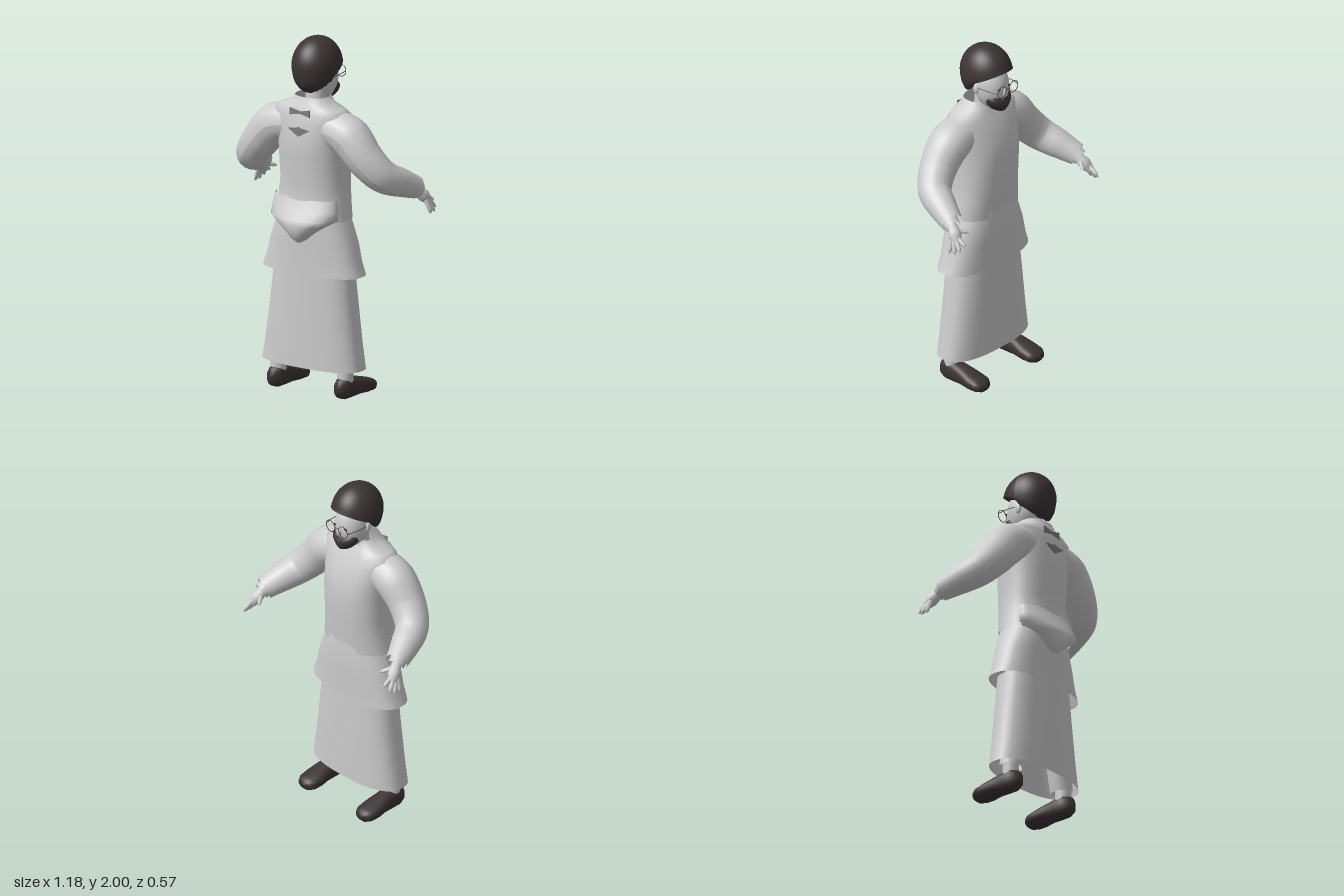
import * as THREE from 'three';

const cloth = new THREE.MeshStandardMaterial({ color: 0xcccccc, side: THREE.DoubleSide });
cloth.name = 'pale cloth and skin';
const dark = new THREE.MeshStandardMaterial({ color: 0x3c3334, side: THREE.DoubleSide });
dark.name = 'dark brown';
const grey = new THREE.MeshStandardMaterial({ color: 0x808080, side: THREE.DoubleSide });
grey.name = 'mid grey';

// Skin through rows of [y, half width, z min, z max]; power < 1 makes the section boxier
function loft(rows, power = 1, from = 0, to = Math.PI * 2, n = 40) {
  const pos = [], idx = [], full = to - from > 6.28, w = full ? n : n + 1;
  const bend = v => Math.sign(v) * Math.abs(v) ** power;
  for (const [y, hw, z0, z1] of rows) {
    for (let j = 0; j < w; j++) {
      const t = from + (to - from) * j / n;
      pos.push(hw * bend(Math.sin(t)), y, (z0 + z1) / 2 + (z1 - z0) / 2 * bend(Math.cos(t)));
    }
  }
  for (let i = 0; i < rows.length - 1; i++) {
    for (let j = 0; j < n; j++) {
      const k = (j + 1) % w, a = i * w + j, b = i * w + k;
      idx.push(a, b, b + w, a, b + w, a + w);
    }
  }
  const g = new THREE.BufferGeometry();
  g.setAttribute('position', new THREE.Float32BufferAttribute(pos, 3));
  g.setIndex(idx);
  g.computeVertexNormals();
  return g;
}

// Tube along points with radii spread evenly over its length
function taperedTube(points, radii, seg = 20, sides = 16) {
  const curve = new THREE.CatmullRomCurve3(points.map(p => new THREE.Vector3(...p)));
  const g = new THREE.TubeGeometry(curve, seg, 1, sides);
  const p = g.attributes.position, v = new THREE.Vector3();
  for (let i = 0; i < p.count; i++) {
    const u = Math.floor(i / (sides + 1)) / seg, f = u * (radii.length - 1);
    const k = Math.min(Math.floor(f), radii.length - 2);
    const r = THREE.MathUtils.lerp(radii[k], radii[k + 1], f - k), c = curve.getPointAt(u);
    v.fromBufferAttribute(p, i).sub(c).multiplyScalar(r).add(c);
    p.setXYZ(i, v.x, v.y, v.z);
  }
  g.computeVertexNormals();
  return g;
}

// Sphere scaled to radii, placed, with an optional rule moving its vertices
function blob(c, r, rule) {
  const g = new THREE.SphereGeometry(1, 32, 24).scale(...r).translate(...c);
  if (rule) {
    const p = g.attributes.position, v = new THREE.Vector3();
    for (let i = 0; i < p.count; i++) {
      rule(v.fromBufferAttribute(p, i));
      p.setXYZ(i, v.x, v.y, v.z);
    }
    g.computeVertexNormals();
  }
  return g;
}

function plate(points, y, z) {
  const s = new THREE.Shape(points.map(p => new THREE.Vector2(...p)));
  return new THREE.ExtrudeGeometry(s, { depth: 0.006, bevelEnabled: false }).translate(0, y, z);
}

export function createModel() {
  const model = new THREE.Group();
  const add = (name, geometry, material, parent = model) => {
    const m = new THREE.Mesh(geometry, material);
    m.name = name;
    parent.add(m);
    return m;
  };

  // Jacket open at the chest (towards -z) over a vest
  const body = [
    [1.0, 0.225, -0.075, 0.235], [1.1, 0.207, -0.085, 0.22], [1.2, 0.197, -0.095, 0.212],
    [1.35, 0.2, -0.103, 0.228], [1.45, 0.205, -0.088, 0.225], [1.54, 0.225, -0.055, 0.212],
    [1.59, 0.235, -0.03, 0.2], [1.62, 0.195, -0.015, 0.19], [1.645, 0.125, -0.005, 0.178],
    [1.68, 0.1, 0.0, 0.165],
  ];
  add('jacket', loft(body, 0.85, -Math.PI + 0.42, Math.PI - 0.42), cloth);
  add('vest', loft(body.slice(0, 9).map(([y, w, a, b]) => [y, w * 0.95, a + 0.01, b - 0.012]), 0.85), cloth);
  // Jacket tail hanging to a point at the back
  add('jacketTail', loft([
    [0.875, 0.02, 0.05, 0.23], [0.895, 0.055, 0.045, 0.255], [0.93, 0.095, 0.03, 0.27], [0.975, 0.155, 0.02, 0.282],
    [1.01, 0.21, 0.025, 0.272], [1.06, 0.212, 0.05, 0.24], [1.12, 0.2, 0.06, 0.215],
  ], 0.85, -Math.PI / 2, Math.PI / 2), cloth);
  add('collarBow', plate([[-0.07, 0.022], [0, 0.008], [0.06, 0.022], [0.06, -0.018], [0, -0.006], [-0.07, -0.018]], 1.6, 0.2), grey);
  add('backDiamond', plate([[-0.07, 0.012], [-0.015, 0.018], [0, 0.026], [0.015, 0.018], [0.07, 0.012], [0, -0.03]], 1.5, 0.219), grey);

  // Two-tier skirt
  add('lowerSkirt', loft([
    [0.165, 0.318, -0.066, 0.212], [0.3, 0.295, -0.067, 0.21], [0.5, 0.268, -0.066, 0.205], [0.72, 0.24, -0.062, 0.2],
  ], 0.8), cloth);
  add('upperSkirt', loft([
    [0.692, 0.315, -0.072, 0.212], [0.76, 0.288, -0.072, 0.21], [0.86, 0.262, -0.075, 0.21],
    [0.95, 0.228, -0.075, 0.212], [1.03, 0.195, -0.07, 0.205],
  ], 0.8), cloth);

  // Head, hair and beard
  const head = new THREE.Group();
  head.name = 'head';
  model.add(head);
  add('neck', new THREE.CylinderGeometry(0.055, 0.065, 0.16, 20).translate(0, 1.63, 0.055), cloth, head);
  add('face', blob([0, 1.77, 0.008], [0.092, 0.135, 0.1]), cloth, head);
  add('nose', blob([0, 1.752, -0.09], [0.014, 0.028, 0.016]), cloth, head);
  add('hair', blob([0, 1.84, 0.045], [0.133, 0.16, 0.154], v => {
    const cut = v.z < 0.04 ? 1.83 - 0.5 * v.z : 1.81 - 1.5 * (v.z - 0.04);
    if (v.z > 0.08 && v.y < 1.8) v.z += (1.8 - v.y) * 0.2;
    v.y = Math.max(v.y, cut);
  }), dark, head);
  add('beard', blob([0, 1.677, -0.04], [0.08, 0.053, 0.062], v => {
    v.y += Math.abs(v.x) * 0.4;
  }), dark, head);
  add('moustache', blob([0, 1.717, -0.083], [0.036, 0.011, 0.014], v => {
    v.y -= Math.abs(v.x) * 0.4;
  }), dark, head);
  add('glassesBridge', taperedTube([[-0.014, 1.78, -0.11], [0, 1.786, -0.112], [0.014, 1.78, -0.11]], [0.002, 0.002], 6, 6), dark, head);

  for (const s of [1, -1]) {
    const side = s > 0 ? 'left' : 'right';

    // Face details
    add(side + 'Ear', blob([s * 0.09, 1.765, 0.04], [0.012, 0.03, 0.018]), cloth, head);
    add(side + 'Eye', blob([s * 0.04, 1.78, -0.083], [0.011, 0.006, 0.004]), dark, head);
    add(side + 'GlassesRim', new THREE.TorusGeometry(0.034, 0.002, 6, 28).translate(s * 0.048, 1.778, -0.11), dark, head);
    add(side + 'GlassesTemple', taperedTube([[s * 0.082, 1.78, -0.11], [s * 0.094, 1.78, -0.05], [s * 0.095, 1.778, 0.02]], [0.002, 0.002], 8, 6), dark, head);

    // Sleeve bending forward at the elbow
    const arm = new THREE.Group();
    arm.name = side + 'Arm';
    model.add(arm);
    add('sleeve', taperedTube([
      [s * 0.13, 1.51, 0.09], [s * 0.24, 1.48, 0.09], [s * 0.35, 1.365, 0.085],
      [s * 0.43, 1.275, 0.04], [s * 0.478, 1.225, -0.06], [s * 0.515, 1.18, -0.16],
    ], [0.11, 0.115, 0.104, 0.094, 0.082, 0.062], 30, 20), cloth, arm);
    add('cuff', taperedTube([[s * 0.505, 1.195, -0.12], [s * 0.522, 1.165, -0.175]], [0.05, 0.045], 4, 16), cloth, arm);

    // Hand with spread fingers
    add('palm', taperedTube([
      [s * 0.51, 1.19, -0.13], [s * 0.523, 1.155, -0.175], [s * 0.54, 1.115, -0.21], [s * 0.548, 1.095, -0.228],
    ], [0.025, 0.028, 0.036, 0.022], 10, 12), cloth, arm);
    const tips = [[0.468, 1.13, -0.242], [0.541, 1.085, -0.283], [0.568, 1.055, -0.265], [0.581, 1.037, -0.238], [0.584, 1.035, -0.2]];
    tips.forEach(([x, y, z], i) => {
      const base = i ? [s * (0.535 + i * 0.005), 1.13 - i * 0.005, -0.222 + i * 0.007] : [s * 0.515, 1.15, -0.18];
      add(i ? 'finger' : 'thumb', taperedTube([base, [s * x, y, z]], [0.015, 0.014, 0.013, 0.012, 0.011, 0.003], 10, 8), cloth, arm);
    });

    // Leg and shoe, the toe towards -z
    const foot = new THREE.Group();
    foot.name = side + 'Leg';
    model.add(foot);
    add('trouserLeg', taperedTube([[s * 0.215, 0.15, 0.09], [s * 0.17, 0.45, 0.085], [s * 0.12, 0.8, 0.08]], [0.062, 0.07, 0.085], 10, 20), cloth, foot);
    add('ankle', new THREE.CylinderGeometry(0.045, 0.045, 0.12, 16).translate(s * 0.222, 0.12, 0.095), cloth, foot);
    const shoe = loft([
      [-0.165, 0.002, 0.05, 0.07], [-0.155, 0.035, 0.015, 0.11], [-0.12, 0.05, 0.002, 0.126], [-0.06, 0.052, 0.002, 0.122],
      [0, 0.057, 0.006, 0.108], [0.06, 0.066, 0.003, 0.09], [0.11, 0.064, 0.004, 0.076],
      [0.138, 0.046, 0.008, 0.065], [0.149, 0.002, 0.03, 0.04],
    ], 0.85, 0, Math.PI * 2, 24);
    add('shoe', shoe.rotateX(-Math.PI / 2).translate(s * 0.222, 0, 0), dark, foot);
  }
  return model;
}
